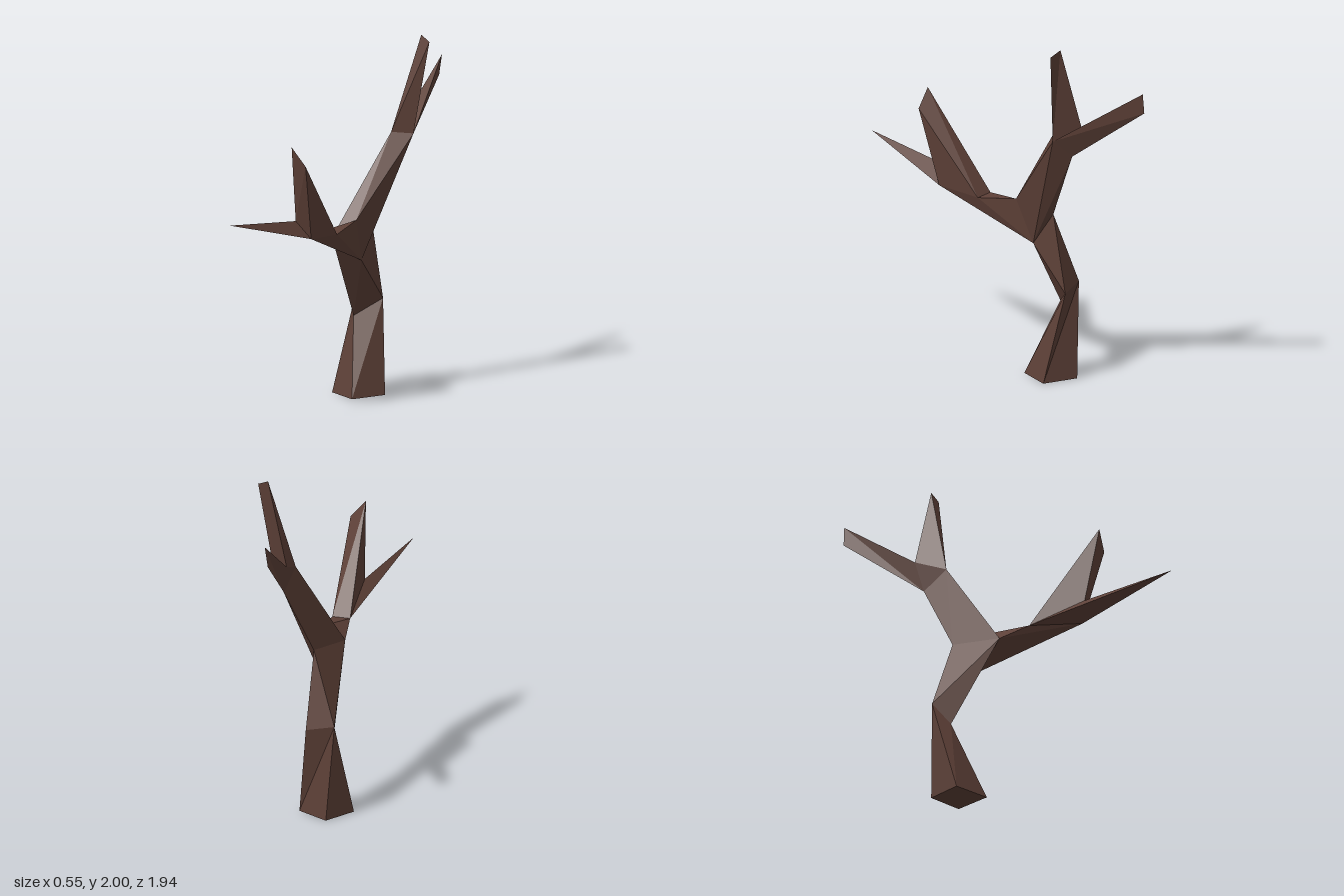
import * as THREE from 'three';

const bark = new THREE.MeshStandardMaterial({ color: 0x5d4037, flatShading: true });
bark.name = 'bark';

const p = (x, y, z) => new THREE.Vector3(x, y, z);

// Skin between two cross-sections with matching point counts (repeated points taper it)
function loft(name, from, to) {
  const pos = [];
  const tri = (a, b, c) => {
    if (a === b || b === c || c === a) return;
    for (const v of [a, b, c]) pos.push(v.x, v.y, v.z);
  };
  from.forEach((a, i) => {
    const j = (i + 1) % from.length;
    tri(a, from[j], to[j]);
    tri(a, to[j], to[i]);
  });
  const geo = new THREE.BufferGeometry();
  geo.setAttribute('position', new THREE.Float32BufferAttribute(pos, 3));
  geo.computeVertexNormals();
  const mesh = new THREE.Mesh(geo, bark);
  mesh.name = name;
  return mesh;
}

export function createModel() {
  const group = new THREE.Group();
  group.name = 'deadTree';

  // Foot of the trunk: front, right, back, left
  const foot = [p(-0.04, 0, -0.13), p(0.075, 0, -0.315), p(-0.1, 0, -0.43), p(-0.22, 0, -0.26)];
  // Bend in the trunk
  const bendFront = p(-0.115, 0.43, -0.315);
  const bendRight = p(0.015, 0.52, -0.42);
  const bendBack = p(-0.145, 0.55, -0.415);
  // Fork
  const forkLow = p(-0.015, 0.77, -0.2);
  const forkLeft = p(-0.12, 0.92, -0.04);
  const forkBack = p(-0.01, 0.96, -0.33);
  const forkTop = p(0, 1.015, -0.1);
  // Split of the front limb
  const frontRight = p(-0.005, 0.98, 0.145);
  const frontLeft = p(-0.11, 0.985, 0.125);
  const frontLow = p(-0.04, 1.0, 0.41);
  const frontTop = p(-0.12, 1.1, 0.44);
  // Split of the rear limb
  const rearFront = p(0.08, 1.465, -0.385);
  const rearRight = p(0.19, 1.455, -0.44);
  const rearLow = p(0.115, 1.36, -0.52);
  const rearBack = p(0.09, 1.53, -0.565);
  // Tips
  const stubLeft = p(-0.108, 1.53, 0.52);
  const stubRight = p(-0.02, 1.43, 0.528);
  const spike = p(-0.275, 1.16, 0.97);
  const upLeft = p(0.21, 2.0, -0.5);
  const upRight = p(0.272, 1.97, -0.472);
  const twigHigh = p(0.12, 1.795, -0.97);
  const twigLow = p(0.103, 1.68, -0.97);

  group.add(
    loft('trunkUnderside', [...foot].reverse(), foot.map(() => foot[3])),
    loft('lowerTrunk', foot, [bendFront, bendRight, bendBack, bendBack]),
    loft('upperTrunk', [bendFront, bendRight, bendBack], [forkLeft, forkLow, forkBack]),
    loft('frontLimb', [forkLow, forkTop, forkLeft], [frontLow, frontRight, frontLeft]),
    loft('frontStub', [frontLeft, frontTop, frontLow, frontRight],
      [stubLeft, stubLeft, stubRight, stubRight]),
    loft('frontSpike', [frontLow, frontTop, frontLeft], [spike, spike, spike]),
    loft('rearLimb', [forkLeft, forkTop, forkLow, forkBack],
      [rearFront, rearFront, rearRight, rearLow]),
    loft('rearCollar', [rearFront, rearRight, rearLow], [rearBack, rearBack, rearBack]),
    loft('rearUpperBranch', [rearFront, rearRight, rearBack], [upLeft, upRight, upLeft]),
    loft('rearTwig', [rearRight, rearLow, rearBack], [twigHigh, twigLow, twigHigh]),
  );
  return group;
}
